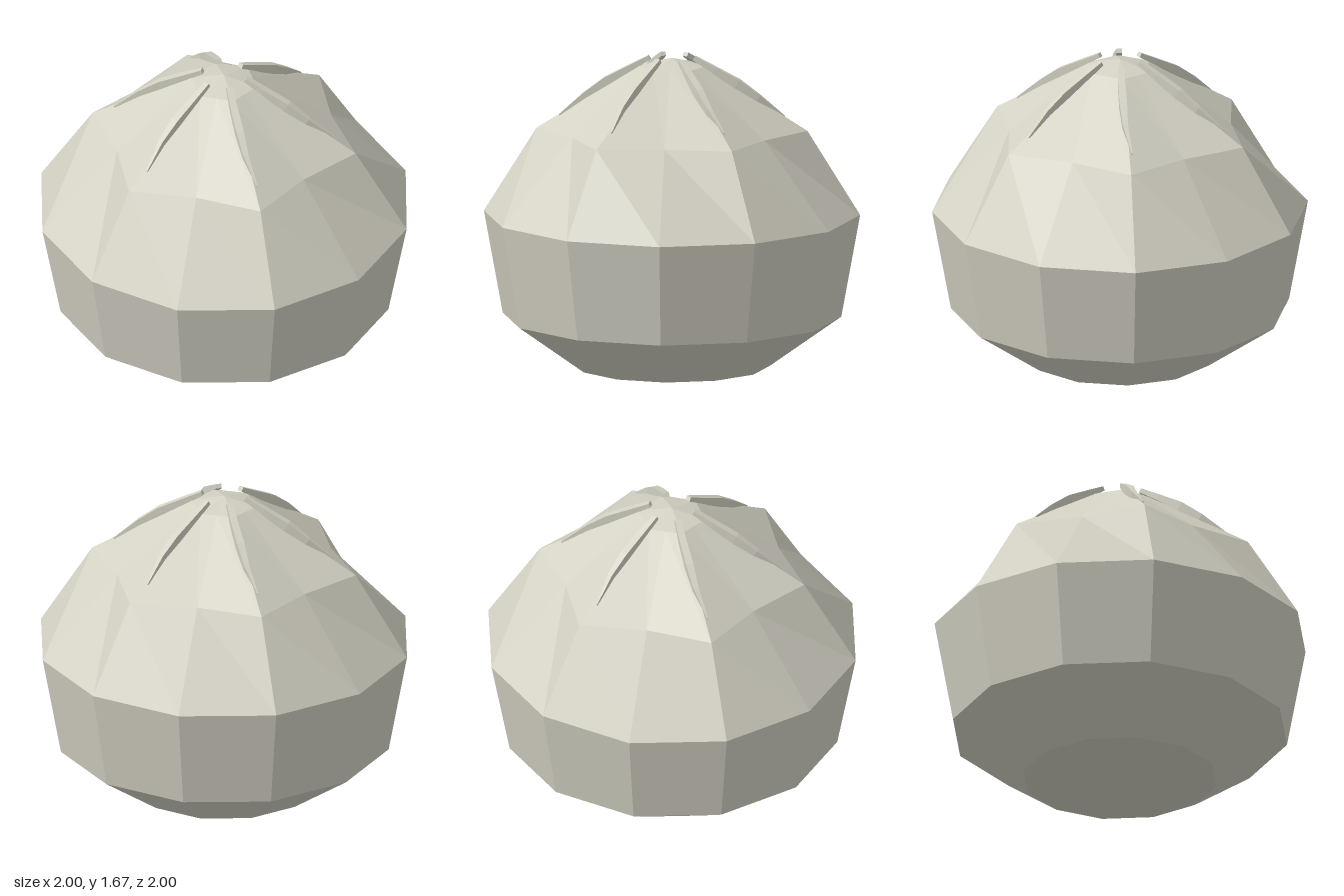
import * as THREE from 'three';

// Skin a list of rings (low to high); single-point rings close the ends.
function loft(rings) {
  const pos = [];
  const tri = (a, b, c) => {
    if (a.distanceTo(b) < 1e-6 || b.distanceTo(c) < 1e-6 || a.distanceTo(c) < 1e-6) return;
    for (const p of [a, b, c]) pos.push(p.x, p.y, p.z);
  };
  for (let k = 0; k < rings.length - 1; k++) {
    const lo = rings[k], hi = rings[k + 1], n = lo.length;
    for (let i = 0; i < n; i++) {
      const j = (i + 1) % n;
      tri(lo[j], lo[i], hi[j]);
      tri(lo[i], hi[i], hi[j]);
    }
  }
  const geo = new THREE.BufferGeometry();
  geo.setAttribute('position', new THREE.Float32BufferAttribute(pos, 3));
  geo.computeVertexNormals();
  return geo;
}

export function createModel() {
  const group = new THREE.Group();
  group.name = 'bulb';
  const cream = new THREE.MeshStandardMaterial({ color: 0xd3d1c3, flatShading: true });
  cream.name = 'cream skin';

  // Twelve-sided body: [height, ridge radius, valley radius]
  const profile = [
    [0, 0, 0], [0, 0.52, 0.52], [0.27, 0.9, 0.9], [0.82, 1, 1],
    [1.27, 0.72, 0.59], [1.61, 0.18, 0.155], [1.655, 0, 0],
  ];
  const bodyRings = profile.map(([y, ridge, valley]) =>
    Array.from({ length: 12 }, (_, i) => {
      const a = (i * Math.PI) / 6, r = i % 2 ? valley : ridge;
      return new THREE.Vector3(r * Math.cos(a), y, r * Math.sin(a));
    }));
  const body = new THREE.Mesh(loft(bodyRings), cream);
  body.name = 'body';
  group.add(body);

  // Thin curved sliver on a ridge: [radius, top height, sideways, half width, depth]
  const stations = [
    [0.6, 1.347, -0.015, 0.003, 0.01],
    [0.47, 1.462, 0.01, 0.014, 0.05],
    [0.36, 1.545, 0.012, 0.02, 0.06],
    [0.23, 1.613, 0.01, 0.019, 0.035],
    [0.125, 1.667, 0.006, 0.015, 0.024],
  ];
  const section = ([r, y, z, w, d]) =>
    [[0, 1], [1, 1], [1, -1], [0, -1]].map(([down, side]) =>
      new THREE.Vector3(r - down * d * 0.5, y - down * d * 0.85, z + side * w));
  const sliverRings = stations.map(section);
  const centre = (ring) => {
    const c = ring.reduce((s, p) => s.add(p), new THREE.Vector3()).multiplyScalar(0.25);
    return ring.map(() => c);
  };
  sliverRings.unshift(centre(sliverRings[0]));
  sliverRings.push(centre(sliverRings[sliverRings.length - 1]));
  const sliverGeo = loft(sliverRings);
  for (let i = 0; i < 6; i++) {
    const sliver = new THREE.Mesh(sliverGeo, cream);
    sliver.name = 'ridgeSliver' + (i + 1);
    sliver.rotation.y = (i * Math.PI) / 3;
    group.add(sliver);
  }
  return group;
}
